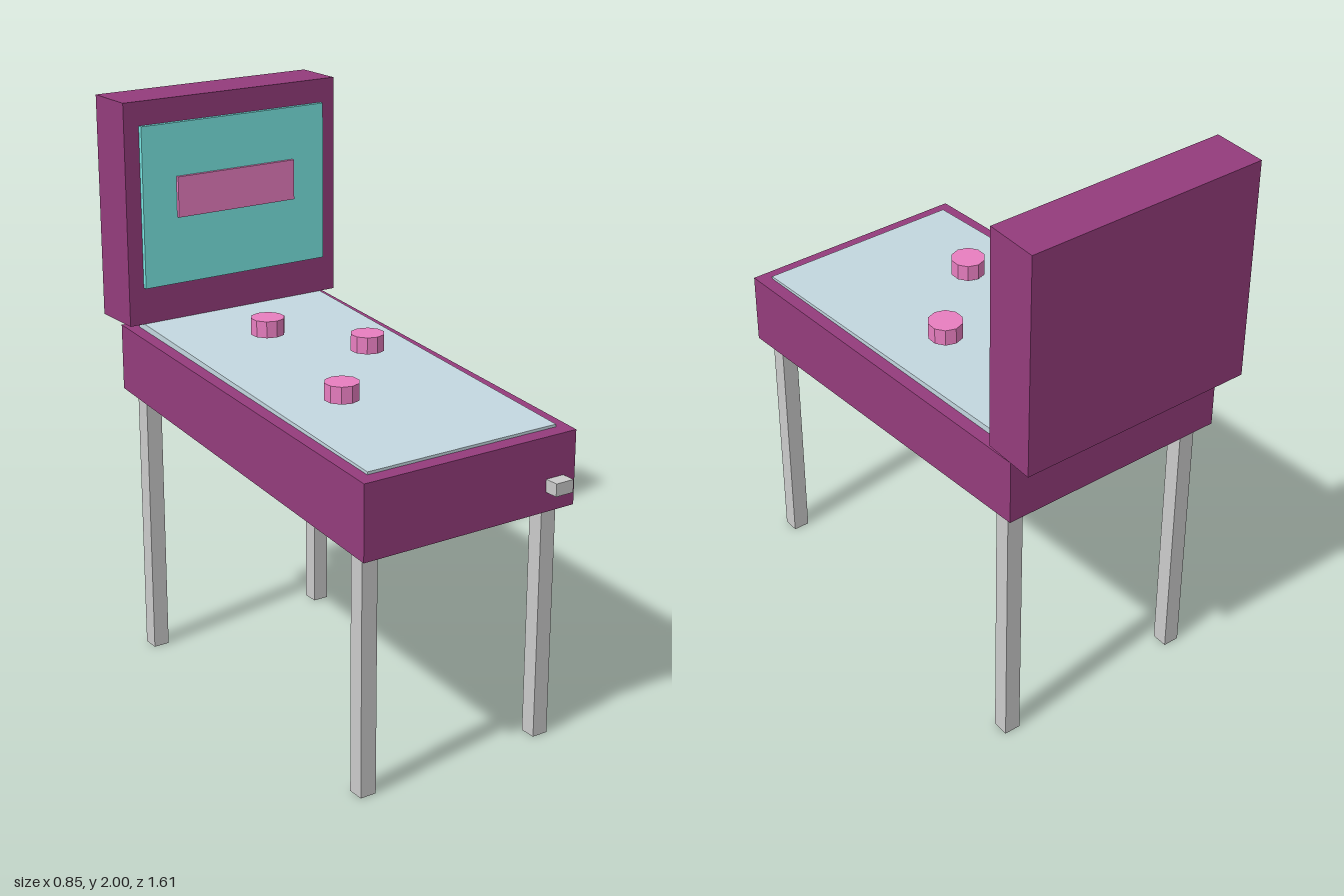
import * as THREE from 'three';

const paint = (color) => new THREE.MeshStandardMaterial({ color });
const purple = paint(0x943c7c), teal = paint(0x7ae8e4), pink = paint(0xe87ec0);
const glass = paint(0xc4d8e0), grey = paint(0xcccccc);

export function createModel() {
  const model = new THREE.Group();

  const add = (name, geometry, material) => {
    const mesh = new THREE.Mesh(geometry, material);
    mesh.name = name;
    model.add(mesh);
    return mesh;
  };

  // Box given by its limits on each axis
  const box = (name, material, [x0, x1], [y0, y1], [z0, z1]) =>
    add(name, new THREE.BoxGeometry(x1 - x0, y1 - y0, z1 - z0), material)
      .position.set((x0 + x1) / 2, (y0 + y1) / 2, (z0 + z1) / 2);

  // Side profile of [z, y] points, extruded across the width
  const slab = (name, material, points, width) => {
    const shape = new THREE.Shape(points.map(([z, y]) => new THREE.Vector2(-z, y)));
    const geometry = new THREE.ExtrudeGeometry(shape, { depth: width, bevelEnabled: false });
    geometry.translate(0, 0, -width / 2).rotateY(Math.PI / 2);
    add(name, geometry, material);
  };

  // Sloping table body and the glass over its playfield
  slab('cabinet', purple, [[0.755, 0.835], [-0.705, 0.975], [-0.705, 1.208], [0.755, 1.09]], 0.822);
  slab('playfieldGlass', glass, [[0.708, 1.085], [-0.66, 1.195], [-0.66, 1.227], [0.708, 1.103]], 0.732);

  // Upright back box with its display panel and score strip
  box('backBox', purple, [-0.424, 0.424], [1.225, 2], [-0.805, -0.617]);
  box('displayPanel', teal, [-0.367, 0.367], [1.355, 1.917], [-0.63, -0.601]);
  box('scoreStrip', pink, [-0.236, 0.236], [1.59, 1.732], [-0.61, -0.589]);

  // Four square legs, running slightly into the sloping underside
  for (const side of [-1, 1]) {
    for (const [z, top, end] of [[0.675, 0.86, 'front'], [-0.627, 0.985, 'back']]) {
      const x = side * 0.352;
      box(end + (side > 0 ? 'LeftLeg' : 'RightLeg'), grey,
        [x - 0.029, x + 0.029], [0, top], [z - 0.029, z + 0.029]);
    }
  }

  // Plunger on the front panel
  box('plunger', grey, [0.294, 0.364], [0.903, 0.947], [0.74, 0.805]);

  // Ten-sided bumpers above the playfield
  const bumperGeometry = new THREE.CylinderGeometry(0.059, 0.059, 0.058, 10).toNonIndexed();
  bumperGeometry.computeVertexNormals();
  [[-0.06, 1.246, -0.31], [0.164, 1.22, -0.037], [-0.145, 1.189, 0.257]].forEach((p, i) => {
    add('bumper' + (i + 1), bumperGeometry, pink).position.set(...p);
  });

  return model;
}
